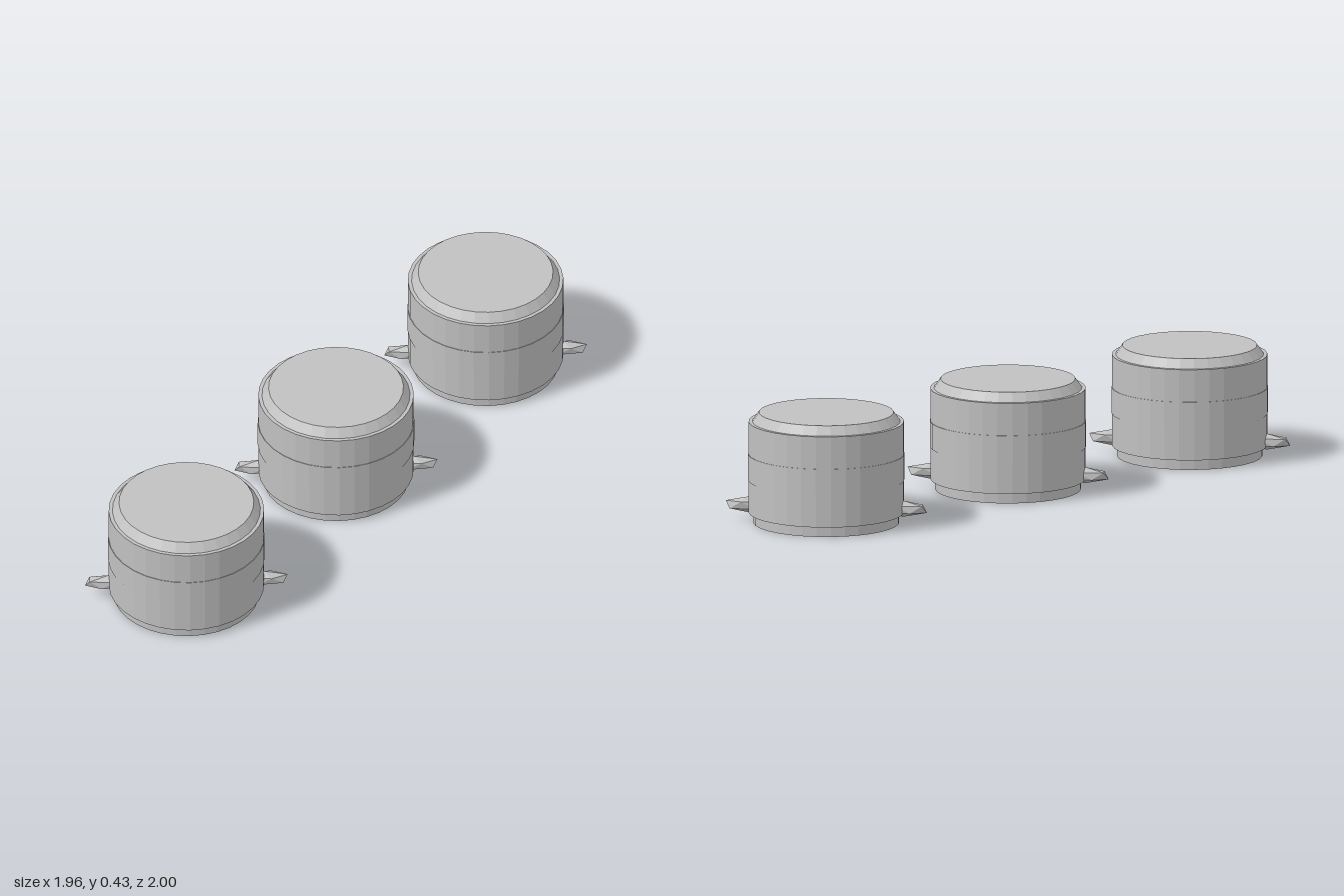
import * as THREE from 'three';

const grey = new THREE.MeshStandardMaterial({ color: 0xc0c0c0, flatShading: true });
grey.name = 'light grey';

const SIDES = 32;
const RADIUS = 0.294;

function part(geometry, name) {
  const mesh = new THREE.Mesh(geometry, grey);
  mesh.name = name;
  return mesh;
}

// Turned body: narrow foot, straight wall, flat shoulder and bevelled lid
function bodyGeometry() {
  const profile = [
    [0, 0], [0.276, 0], [0.276, 0.04], [RADIUS, 0.04], [RADIUS, 0.39],
    [0.28, 0.39], [0.255, 0.425], [0, 0.425],
  ].map(([r, y]) => new THREE.Vector2(r, y));
  return new THREE.LatheGeometry(profile, SIDES);
}

// Barely raised band around the middle of the wall
function bandGeometry() {
  const profile = [
    [RADIUS - 0.004, 0.165], [0.296, 0.165], [0.296, 0.265], [RADIUS - 0.004, 0.265],
  ].map(([r, y]) => new THREE.Vector2(r, y));
  return new THREE.LatheGeometry(profile, SIDES);
}

// Faceted lug: an icosahedron stood on a corner, then stretched sideways
function lugGeometry() {
  const g = new THREE.IcosahedronGeometry(1, 0);
  g.rotateX(-Math.atan((1 + Math.sqrt(5)) / 2));
  g.rotateY(Math.PI / 2);
  g.scale(0.1, 0.031, 0.031);
  return g;
}

export function createModel() {
  const model = new THREE.Group();
  model.name = 'threeCanisters';
  const body = bodyGeometry();
  const band = bandGeometry();
  const lug = lugGeometry();

  // Three identical canisters in a diagonal row
  for (const i of [-1, 0, 1]) {
    const canister = new THREE.Group();
    canister.name = ['frontCanister', 'middleCanister', 'backCanister'][i + 1];
    canister.add(part(body, 'body'), part(band, 'band'));
    for (const side of [-1, 1]) {
      const mesh = part(lug, side > 0 ? 'leftLug' : 'rightLug');
      mesh.position.set(side * 0.294, 0.06, 0);
      canister.add(mesh);
    }
    canister.position.set(i * 0.597, 0, -i * 0.704);
    model.add(canister);
  }
  return model;
}
